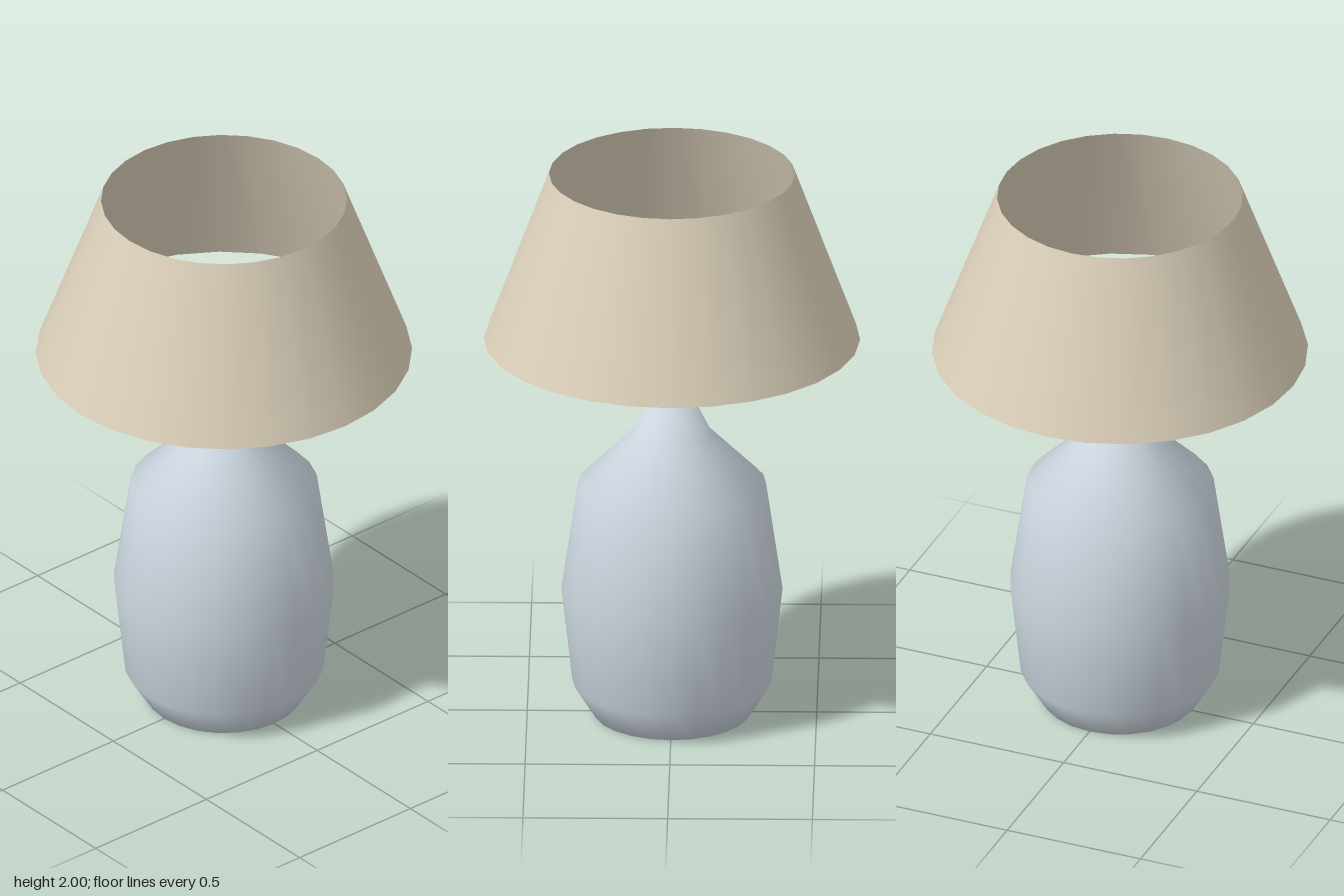
import * as THREE from 'three';

const ceramic = new THREE.MeshStandardMaterial({ color: 0xcbd5de });
ceramic.name = 'pale blue ceramic';
const linen = new THREE.MeshStandardMaterial({ color: 0xdbd0ba, side: THREE.DoubleSide });
linen.name = 'beige linen';
const brass = new THREE.MeshStandardMaterial({ color: 0xcdb57f });
brass.name = 'brass';

export function createModel() {
  const lamp = new THREE.Group();
  lamp.name = 'tableLamp';

  const add = (name, geometry, material, y = 0) => {
    const mesh = new THREE.Mesh(geometry, material);
    mesh.name = name;
    mesh.position.y = y;
    lamp.add(mesh);
  };

  // Turned body with a shallow recess underneath, from the bottom up
  const profile = [
    [0, 0.03], [0.15, 0.03], [0.16, 0], [0.27, 0], [0.345, 0.12], [0.382, 0.46],
    [0.325, 0.85], [0.135, 1.04], [0.078, 1.155], [0, 1.155],
  ].map(([r, y]) => new THREE.Vector2(r, y));
  add('body', new THREE.LatheGeometry(profile, 24), ceramic);

  // Slim rod inside the shade
  add('rod', new THREE.CylinderGeometry(0.03, 0.03, 0.46, 8), brass, 1.38);

  // Open tapered shade
  add('shade', new THREE.CylinderGeometry(0.425, 0.65, 0.613, 28, 1, true), linen, 1.6935);

  return lamp;
}
